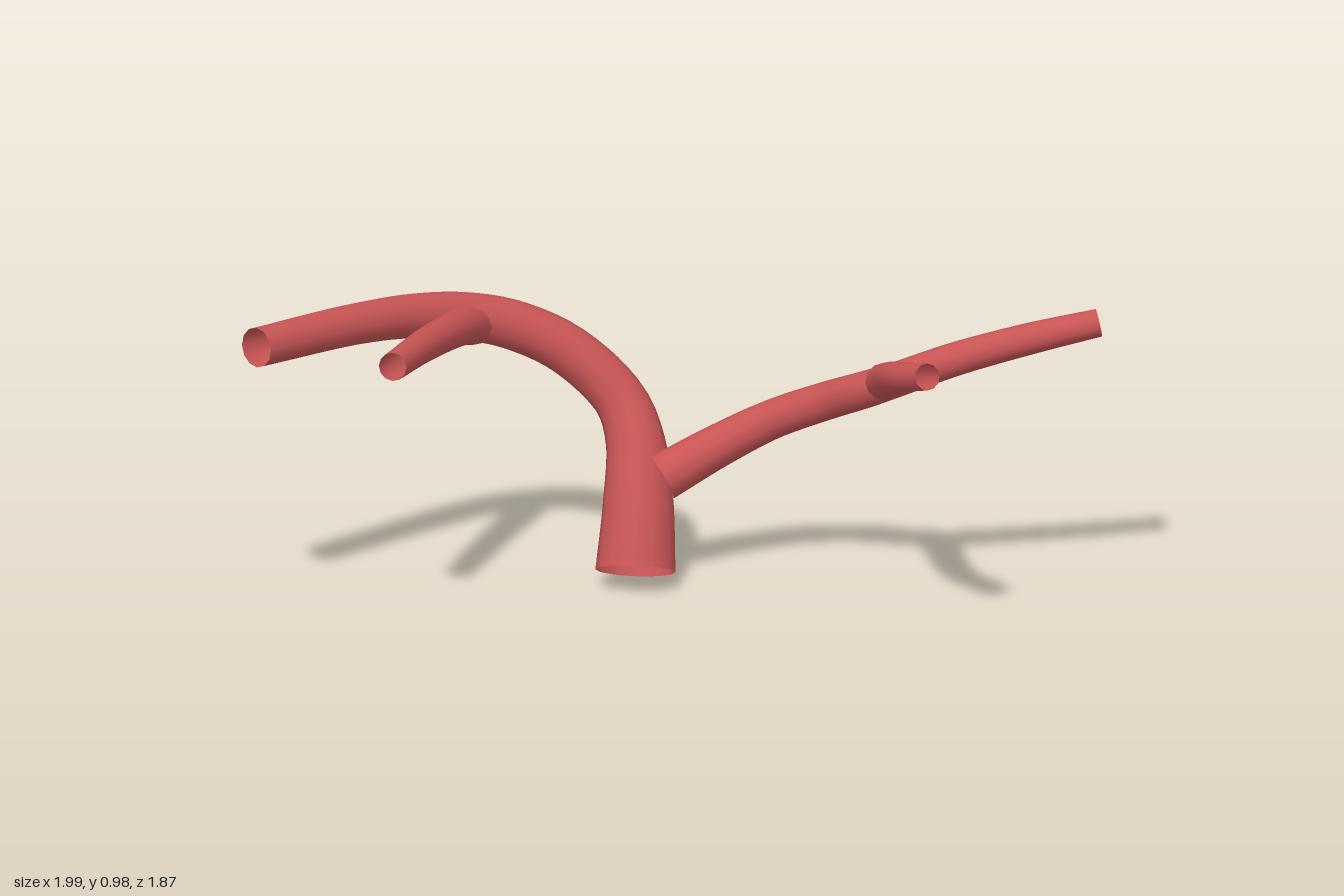
import * as THREE from 'three';

// Tapered open tube through points given as [x, y, z, radius]
function taperedTube(points, segments, sides = 12) {
  const curve = new THREE.CatmullRomCurve3(points.map(([x, y, z]) => new THREE.Vector3(x, y, z)));
  const geometry = new THREE.TubeGeometry(curve, segments, 1, sides, false);
  const position = geometry.attributes.position;
  const vertex = new THREE.Vector3();
  for (let ring = 0; ring <= segments; ring++) {
    const u = ring / segments;
    const centre = curve.getPointAt(u);
    const t = curve.getUtoTmapping(u) * (points.length - 1);
    const i = Math.min(Math.floor(t), points.length - 2);
    const radius = THREE.MathUtils.lerp(points[i][3], points[i + 1][3], t - i);
    for (let side = 0; side <= sides; side++) {
      const k = ring * (sides + 1) + side;
      vertex.fromBufferAttribute(position, k).sub(centre).multiplyScalar(radius).add(centre);
      position.setXYZ(k, vertex.x, vertex.y, vertex.z);
    }
  }
  return geometry;
}

export function createModel() {
  const group = new THREE.Group();
  group.name = 'branchingVessel';
  const red = new THREE.MeshStandardMaterial({ color: 0xc95555, side: THREE.DoubleSide });
  red.name = 'vessel red';

  const parts = {
    // Thick root that arches over and runs forward on the right
    mainTrunk: [
      [-0.225, 0.055, -0.08, 0.125], [-0.275, 0.25, -0.16, 0.11], [-0.34, 0.42, -0.23, 0.092],
      [-0.42, 0.535, -0.255, 0.082], [-0.57, 0.68, -0.19, 0.08], [-0.7, 0.765, -0.08, 0.078],
      [-0.79, 0.81, 0.05, 0.075], [-0.85, 0.85, 0.25, 0.07], [-0.885, 0.88, 0.5, 0.066],
      [-0.937, 0.905, 0.93, 0.063],
    ],
    // Thin offshoot of the trunk's forward run
    rightOffshoot: [
      [-0.752, 0.785, 0.055, 0.058], [-0.715, 0.82, 0.16, 0.06],
      [-0.6, 0.872, 0.5, 0.052], [-0.482, 0.905, 0.83, 0.045],
    ],
    // Long side branch that sweeps to the back left
    leftBranch: [
      [-0.205, 0.335, -0.19, 0.075], [-0.1, 0.42, -0.33, 0.068], [0.03, 0.505, -0.44, 0.062],
      [0.2, 0.585, -0.495, 0.06], [0.36, 0.655, -0.495, 0.058], [0.47, 0.705, -0.52, 0.055],
      [0.62, 0.775, -0.605, 0.053], [0.8, 0.84, -0.745, 0.05], [0.96, 0.885, -0.9, 0.044],
    ],
    // Offshoot that turns forward at the fork
    leftOffshoot: [
      [0.44, 0.7, -0.48, 0.058], [0.55, 0.755, -0.36, 0.057], [0.67, 0.825, -0.21, 0.052],
      [0.8, 0.885, -0.09, 0.047], [0.973, 0.942, 0, 0.042],
    ],
  };

  for (const [name, points] of Object.entries(parts)) {
    const mesh = new THREE.Mesh(taperedTube(points, points.length * 5), red);
    mesh.name = name;
    group.add(mesh);
  }
  return group;
}
